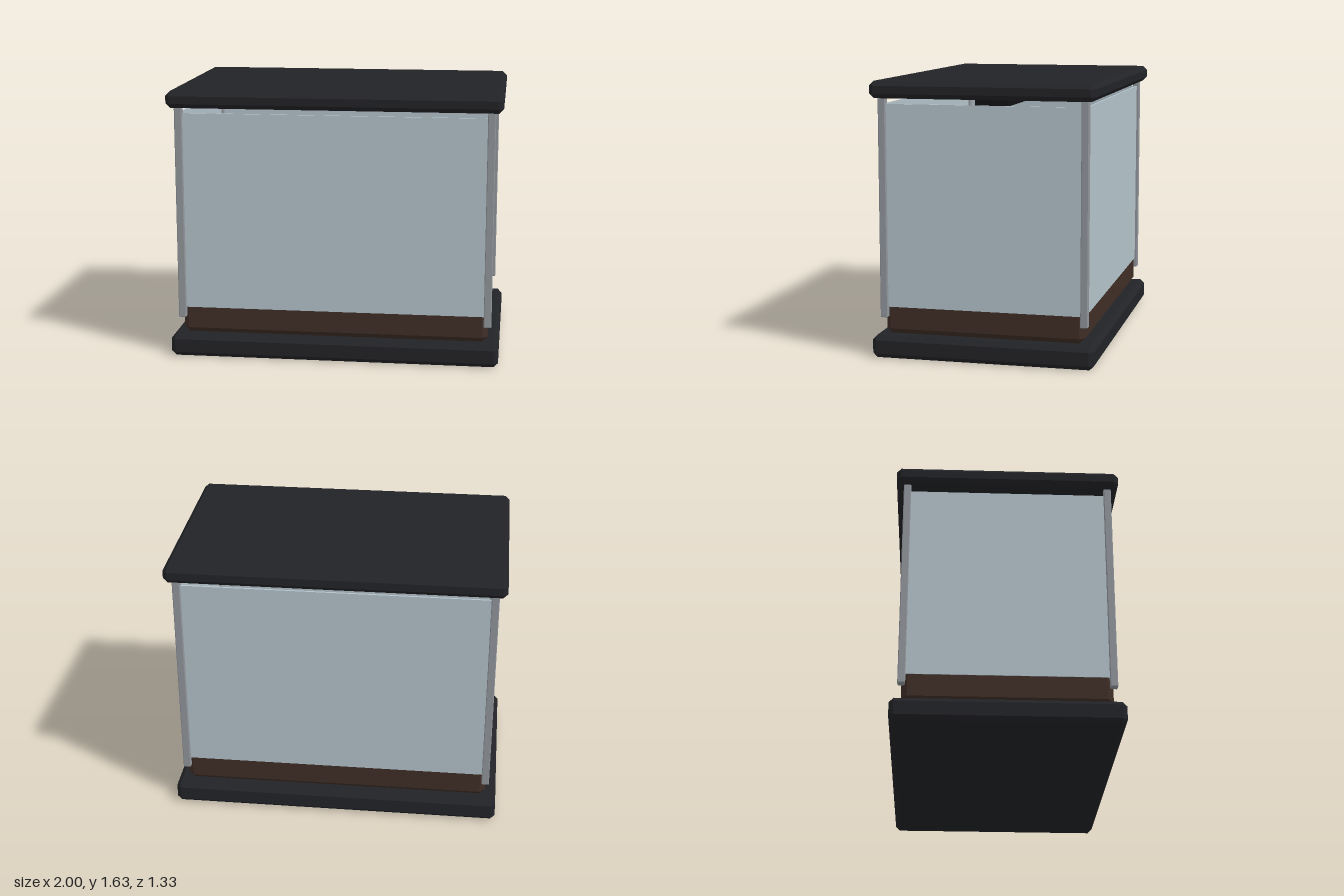
import * as THREE from 'three';
import { ConvexGeometry } from 'three/addons/geometries/ConvexGeometry.js';

const mat = (color) => new THREE.MeshStandardMaterial({ color });

// Box between y0 and y1 with every edge and corner chamfered by c
function chamferBox(w, y0, y1, d, c) {
  const x = w / 2, y = (y1 - y0) / 2, z = d / 2;
  const points = [];
  for (const sx of [-1, 1]) for (const sy of [-1, 1]) for (const sz of [-1, 1]) {
    points.push(
      new THREE.Vector3(sx * x, sy * (y - c), sz * (z - c)),
      new THREE.Vector3(sx * (x - c), sy * y, sz * (z - c)),
      new THREE.Vector3(sx * (x - c), sy * (y - c), sz * z));
  }
  return new ConvexGeometry(points).translate(0, (y0 + y1) / 2, 0);
}

function box(w, y0, y1, d) {
  return new THREE.BoxGeometry(w, y1 - y0, d).translate(0, (y0 + y1) / 2, 0);
}

export function createModel() {
  const model = new THREE.Group();
  model.name = 'glassTank';
  const black = mat(0x222327), wood = mat(0x3f2e26), metal = mat(0x92979c);
  const glass = mat(0xb4c3cb), lampBlack = mat(0x111113);

  const add = (name, geometry, material, x = 0, z = 0) => {
    const mesh = new THREE.Mesh(geometry, material);
    mesh.name = name;
    mesh.position.set(x, 0, z);
    model.add(mesh);
  };

  // Plinth, substrate and lid
  add('base', chamferBox(2, 0, 0.135, 1.33, 0.027), black);
  add('substrate', chamferBox(1.865, 0.135, 0.335, 1.2, 0.033), wood);
  add('lid', chamferBox(2, 1.535, 1.635, 1.33, 0.027), black);

  // Lamp strip under the lid
  add('lampStrip', box(1.46, 1.48, 1.54, 0.2), lampBlack);

  // Glass panes and corner posts, mirrored on both axes
  for (const s of [-1, 1]) {
    add(s > 0 ? 'frontPane' : 'backPane', box(1.85, 0.3, 1.5, 0.012), glass, 0, s * 0.599);
    add(s > 0 ? 'leftPane' : 'rightPane', box(0.012, 0.3, 1.5, 1.186), glass, s * 0.931, 0);
    for (const t of [-1, 1]) {
      add((t > 0 ? 'front' : 'back') + (s > 0 ? 'Left' : 'Right') + 'Post',
        chamferBox(0.046, 0.238, 1.54, 0.044, 0.004), metal, s * 0.932, t * 0.6);
    }
  }
  return model;
}
